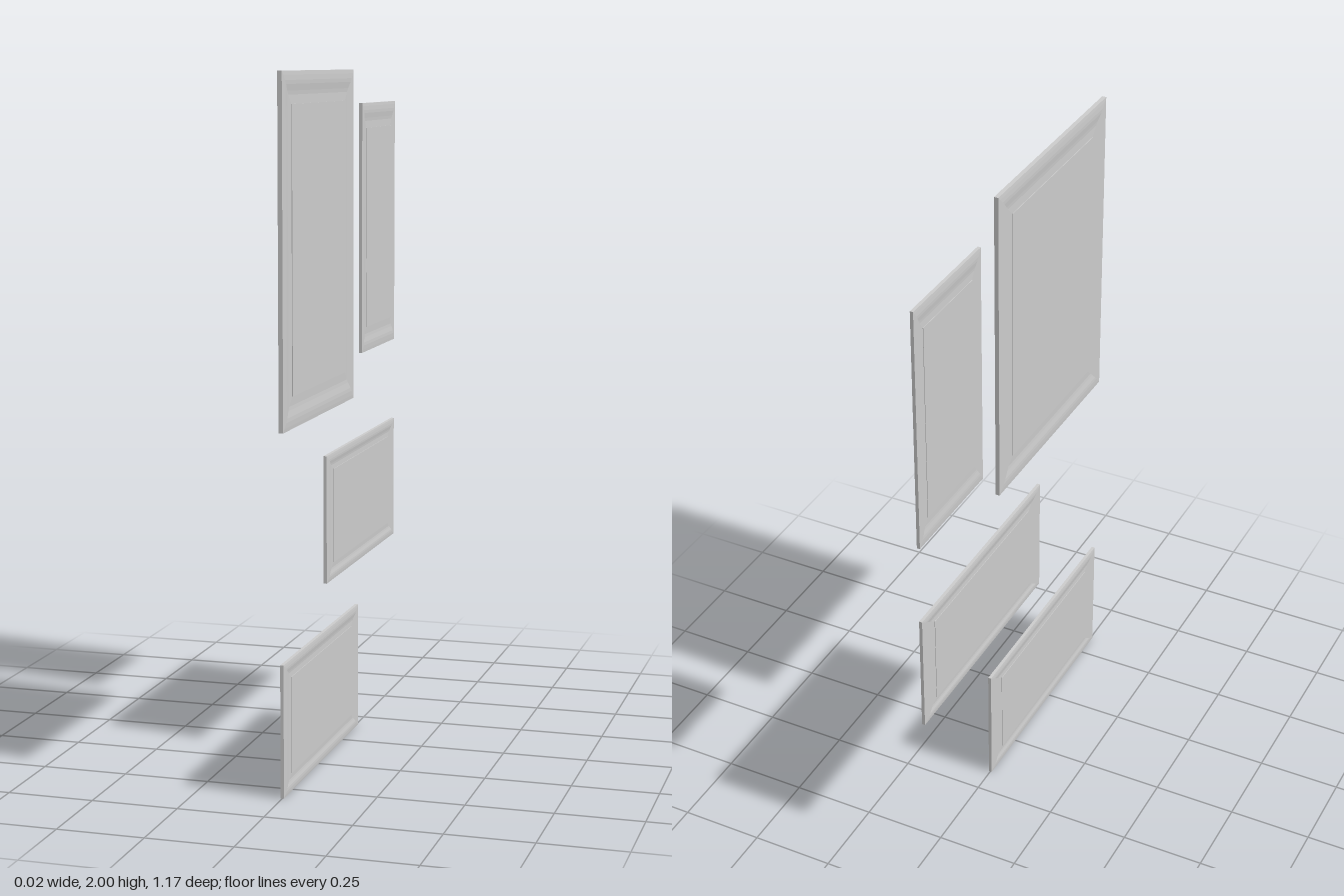
import * as THREE from 'three';

// Moulding profile from the raised panel to the outer edge:
// [inset as a fraction of the rim width, half thickness as a fraction]
const PROFILE = [[1, 0.9], [1, 0.65], [0.72, 0.55], [0.6, 0.65], [0.4, 0.95], [0.28, 1], [0.12, 0.92], [0, 0.8]];

// Double-sided framed panel in the yz plane, built from rectangular rings
function framedPanel({ name, z0, z1, y0, y1, rimZ, rimY, half }) {
  const profile = [...PROFILE, ...PROFILE.map(([t, h]) => [t, -h]).reverse()];
  const rings = profile.map(([t, h]) => {
    const x = h * half, a = z0 + t * rimZ, b = z1 - t * rimZ;
    const c = y0 + t * rimY, d = y1 - t * rimY;
    return [[x, c, b], [x, c, a], [x, d, a], [x, d, b]];
  });
  const positions = [];
  const quad = (a, b, c, d) => positions.push(...a, ...b, ...c, ...a, ...c, ...d);

  // Moulding walls
  for (let i = 0; i < rings.length - 1; i++) {
    const inner = rings[i], outer = rings[i + 1];
    for (let k = 0; k < 4; k++) {
      const n = (k + 1) % 4;
      quad(outer[k], outer[n], inner[n], inner[k]);
    }
  }
  // Flat centre on both sides
  quad(...rings[0]);
  quad(...[...rings[rings.length - 1]].reverse());

  const geometry = new THREE.BufferGeometry();
  geometry.setAttribute('position', new THREE.Float32BufferAttribute(positions, 3));
  geometry.computeVertexNormals();
  const mesh = new THREE.Mesh(geometry, new THREE.MeshStandardMaterial({ color: 0xcccccc, flatShading: true }));
  mesh.name = name;
  return mesh;
}

export function createModel() {
  const group = new THREE.Group();
  group.name = 'wallPanels';
  const panels = [
    { name: 'largePanel', z0: -0.107, z1: 0.585, y0: 1.027, y1: 2, rimZ: 0.087, rimY: 0.089, half: 0.008 },
    { name: 'tallPanel', z0: -0.585, z1: -0.208, y0: 1.15, y1: 1.9, rimZ: 0.05, rimY: 0.074, half: 0.006 },
    { name: 'middlePanel', z0: -0.585, z1: 0.167, y0: 0.518, y1: 0.895, rimZ: 0.074, rimY: 0.049, half: 0.006 },
    { name: 'bottomPanel', z0: -0.167, z1: 0.585, y0: 0, y1: 0.38, rimZ: 0.074, rimY: 0.051, half: 0.006 },
  ];
  for (const panel of panels) group.add(framedPanel(panel));
  return group;
}
